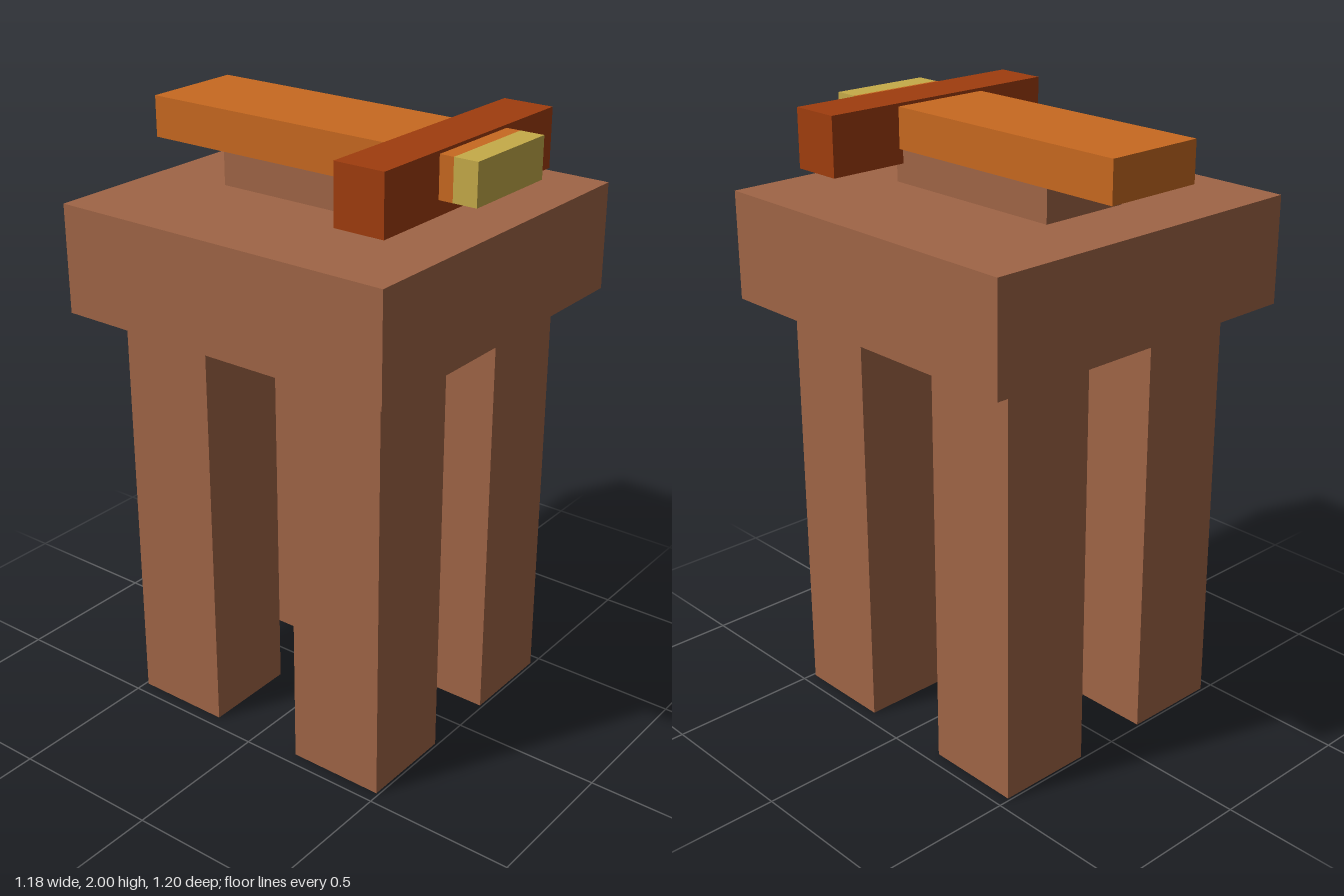
import * as THREE from 'three';

const material = (name, color) => {
  const m = new THREE.MeshStandardMaterial({ color });
  m.name = name;
  return m;
};

export function createModel() {
  const brown = material('brown wood', 0xa06546);
  const orange = material('orange', 0xc86920);
  const rust = material('rust red', 0xa03d0e);
  const gold = material('gold', 0xc6ab49);

  const model = new THREE.Group();
  model.name = 'pedestalWithSword';

  // Box given by its extents along each axis
  const box = (name, mat, [x0, x1], [y0, y1], [z0, z1]) => {
    const mesh = new THREE.Mesh(new THREE.BoxGeometry(x1 - x0, y1 - y0, z1 - z0), mat);
    mesh.position.set((x0 + x1) / 2, (y0 + y1) / 2, (z0 + z1) / 2);
    mesh.name = name;
    model.add(mesh);
    return mesh;
  };

  // Four square legs
  for (const sx of [-1, 1]) {
    for (const sz of [-1, 1]) {
      const leg = box(`${sz > 0 ? 'front' : 'back'}${sx > 0 ? 'Left' : 'Right'}Leg`,
        brown, [-0.162, 0.162], [0, 1.397], [-0.163, 0.163]);
      leg.position.x = sx * 0.296;
      leg.position.z = sz * 0.328;
    }
  }

  // Slab and the small support on top of it
  box('slab', brown, [-0.592, 0.592], [1.397, 1.747], [-0.592, 0.592]);
  box('support', brown, [-0.157, 0.157], [1.747, 1.86], [-0.333, 0.333]);

  // Long bar lying on the support, with its crosspiece and end cap
  box('bar', orange, [-0.171, 0.171], [1.858, 1.99], [-0.6, 0.52]);
  box('crosspiece', rust, [-0.428, 0.428], [1.81, 2], [0.302, 0.473]);
  box('endCap', gold, [-0.171, 0.171], [1.858, 1.99], [0.52, 0.6]);

  return model;
}
